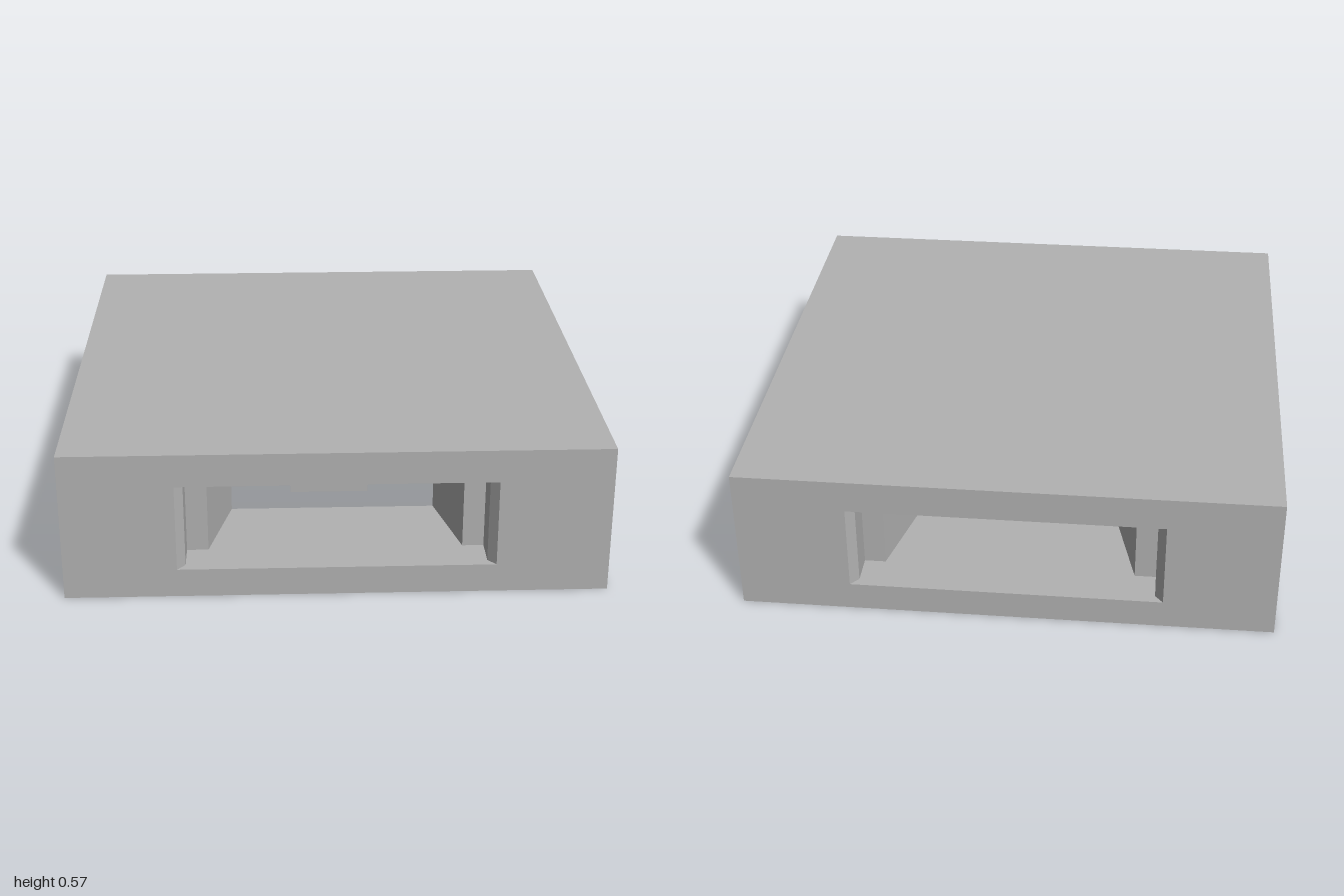
import * as THREE from 'three';

const RING_TOP = 0.11, DECK_BOTTOM = 0.445, HEIGHT = 0.57;

// Extrude a plan outline (x, z) upwards between two heights
function slab(shape, y0, y1) {
  const g = new THREE.ExtrudeGeometry(shape, { depth: y1 - y0, bevelEnabled: false });
  g.rotateX(-Math.PI / 2);
  g.translate(0, y0, 0);
  return g;
}

const toShape = (pts) => new THREE.Shape(pts.map(([x, z]) => new THREE.Vector2(x, z)));

export function createModel() {
  const model = new THREE.Group();
  model.name = 'pallet';
  const grey = new THREE.MeshStandardMaterial({ color: 0xb2b2b2 });
  grey.name = 'grey';

  const add = (geometry, name) => {
    const mesh = new THREE.Mesh(geometry, grey);
    mesh.name = name;
    model.add(mesh);
    return mesh;
  };

  // Solid top deck
  const deck = new THREE.BoxGeometry(2, HEIGHT - DECK_BOTTOM, 2);
  deck.translate(0, (HEIGHT + DECK_BOTTOM) / 2, 0);
  add(deck, 'topDeck');

  // Bottom frame with a square opening, its corners slightly cut
  const frame = toShape([[-1, -1], [1, -1], [1, 1], [-1, 1]]);
  const h = 0.52, c = 0.5;
  frame.holes.push(new THREE.Path([
    [h, c], [c, h], [-c, h], [-h, c], [-h, -c], [-c, -h], [c, -h], [h, -c],
  ].map(([x, z]) => new THREE.Vector2(x, z))));
  add(slab(frame, 0, RING_TOP), 'bottomFrame');

  // Corner blocks: half outline mirrored over the diagonal, turned to each corner
  const half = [[0.585, 1], [0.555, 0.965], [0.555, 0.85], [0.475, 0.85], [0.395, h], [c, h]];
  const mirrored = half.map(([x, z]) => [z, x]).reverse();
  const block = slab(toShape([[1, 1], ...half, ...mirrored]), RING_TOP, DECK_BOTTOM);
  for (let i = 0; i < 4; i++) {
    add(block, 'cornerBlock' + (i + 1)).rotation.y = i * Math.PI / 2;
  }

  // Centre post reaching down to the floor
  const post = new THREE.BoxGeometry(0.32, DECK_BOTTOM, 0.32);
  post.translate(0, DECK_BOTTOM / 2, 0);
  add(post, 'centrePost');

  return model;
}
